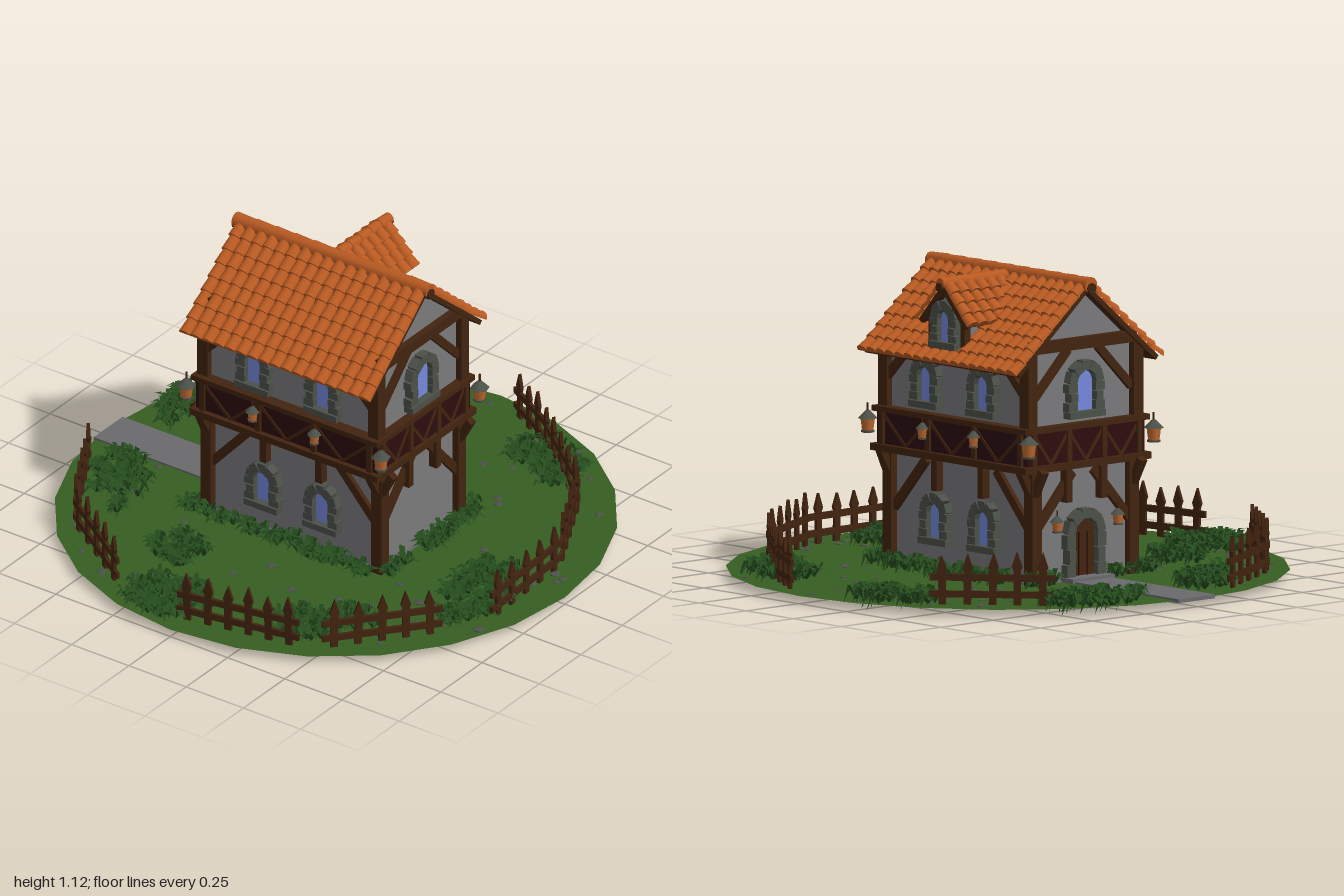
import * as THREE from 'three';
import { mergeGeometries } from 'three/addons/utils/BufferGeometryUtils.js';

const mat = (name, color, extra = {}) => Object.assign(new THREE.MeshStandardMaterial({ color, ...extra }), { name });

export function createModel() {
  const M = {
    grass: mat('grass', 0x355e22, { side: THREE.DoubleSide }),
    leaf: mat('leaf', 0x254d1d, { side: THREE.DoubleSide }),
    roof: mat('roofTile', 0xb95a22),
    wall: mat('plaster', 0x7a7a7c),
    wood: mat('wood', 0x42230f),
    panel: mat('darkPanel', 0x2c0d0e),
    stone: mat('stone', 0x4b5048),
    glass: mat('glass', 0x7488dc),
    path: mat('path', 0x6a6a6d),
    lamp: mat('lampGlow', 0xc06a30),
  };
  let seed = 7;
  const rnd = (a = 0, b = 1) => {
    seed = (seed * 16807) % 2147483647;
    return a + (b - a) * seed / 2147483647;
  };
  const V = (x, y, z) => new THREE.Vector3(x, y, z);
  const group = (parent, name, x = 0, y = 0, z = 0, yaw = 0) => {
    const g = new THREE.Group();
    g.name = name;
    g.position.set(x, y, z);
    g.rotation.y = yaw;
    parent.add(g);
    return g;
  };
  const add = (parent, name, geo, m, x = 0, y = 0, z = 0) => {
    const mesh = new THREE.Mesh(geo, m);
    mesh.name = name;
    mesh.position.set(x, y, z);
    parent.add(mesh);
    return mesh;
  };
  const box = (parent, name, m, w, h, d, x, y, z) => add(parent, name, new THREE.BoxGeometry(w, h, d), m, x, y, z);
  // square timber between two points of one facade
  const brace = (parent, name, x1, y1, x2, y2, z, t = 0.03, m = M.wood) => {
    const b = box(parent, name, m, Math.hypot(x2 - x1, y2 - y1), t, t, (x1 + x2) / 2, (y1 + y2) / 2, z);
    b.rotation.z = Math.atan2(y2 - y1, x2 - x1);
    return b;
  };
  const extrude = (points, depth) => new THREE.ExtrudeGeometry(
    new THREE.Shape(points.map(p => new THREE.Vector2(...p))), { depth, bevelEnabled: false });

  const root = new THREE.Group();
  root.name = 'cottage';

  // ground, path and pebbles
  add(root, 'ground', new THREE.CircleGeometry(1, 24).rotateX(-Math.PI / 2), M.grass, 0, 0.028, 0);
  box(root, 'path', M.path, 0.175, 0.014, 0.57, 0, 0.028, -0.71);
  const pebbles = [];
  for (let i = 0; i < 80; i++) {
    const a = rnd(0, 6.28), r = 0.96 * Math.sqrt(rnd(0.2, 1));
    pebbles.push(new THREE.IcosahedronGeometry(rnd(0.012, 0.022), 0).scale(1, 0.25, 1)
      .rotateY(a).translate(r * Math.cos(a), 0.029, r * Math.sin(a)));
  }
  add(root, 'pebbles', mergeGeometries(pebbles), M.stone);

  const house = group(root, 'house', -0.004, 0, -0.01);

  // plaster body, jettied upper storey and gable
  box(house, 'foundation', M.path, 0.47, 0.015, 0.76, 0, 0.028, 0);
  box(house, 'lowerWalls', M.wall, 0.45, 0.42, 0.74, 0, 0.235, 0);
  add(house, 'upperWalls', extrude([[-0.25, 0.5], [0.25, 0.5], [0.25, 0.86], [0, 1.07], [-0.25, 0.86]], 0.74), M.wall, 0, 0, -0.37);
  box(house, 'beltPanels', M.panel, 0.56, 0.15, 0.79, 0, 0.515, 0);
  box(house, 'beltTopRail', M.wood, 0.59, 0.02, 0.815, 0, 0.585, 0);
  box(house, 'beltBottomRail', M.wood, 0.6, 0.025, 0.82, 0, 0.447, 0);
  for (const sx of [-1, 1]) for (const sz of [-1, 1]) {
    box(house, 'lowerPost', M.wood, 0.045, 0.43, 0.045, sx * 0.232, 0.235, sz * 0.373);
    box(house, 'upperPost', M.wood, 0.045, 0.28, 0.045, sx * 0.252, 0.72, sz * 0.373);
  }

  // arched opening framed with stone blocks, facing +z
  function archOpening(parent, name, w, h, x, y, z, fill) {
    const g = group(parent, name, x, y, z), r = w / 2, s = h - r, t = 0.036;
    const shape = new THREE.Shape().moveTo(-r, 0).lineTo(r, 0).lineTo(r, s);
    shape.absarc(0, s, r, 0, Math.PI, false);
    add(g, 'pane', new THREE.ExtrudeGeometry(shape, { depth: 0.008, bevelEnabled: false, curveSegments: 8 }), fill);
    for (const side of [-1, 1]) for (let i = 0; i < 3; i++) {
      const bw = t + (i % 2 ? -0.004 : 0.005);
      box(g, 'jambStone', M.stone, bw, s / 3 - 0.003, 0.04 + (i % 2) * 0.006, side * (r + bw / 2), (i + 0.5) * s / 3, 0.01);
    }
    for (let i = 0; i < 5; i++) {
      const a = (i + 0.5) * Math.PI / 5;
      box(g, 'archStone', M.stone, t, Math.PI * (r + t * 0.6) / 5, 0.042 + (i % 2) * 0.006,
        Math.cos(a) * (r + t / 2), s + Math.sin(a) * (r + t / 2), 0.01).rotation.z = a;
    }
    return g;
  }
  const windowAt = (parent, w, h, x, y, z) =>
    box(archOpening(parent, 'window', w, h, x, y, z, M.glass), 'sill', M.stone, w + 0.08, 0.024, 0.05, 0, -0.012, 0.012);

  // lantern hung from a short arm
  function lantern(parent, x, y, z, s = 1) {
    const g = group(parent, 'lantern', x, y, z, Math.PI / 4);
    g.scale.setScalar(s);
    add(g, 'lampBody', new THREE.CylinderGeometry(0.026, 0.02, 0.045, 6), M.lamp);
    add(g, 'lampCap', new THREE.CylinderGeometry(0.006, 0.036, 0.03, 6), M.stone, 0, 0.036, 0);
    add(g, 'lampBase', new THREE.CylinderGeometry(0.024, 0.024, 0.008, 6), M.stone, 0, -0.025, 0);
    add(g, 'lampHook', new THREE.CylinderGeometry(0.004, 0.004, 0.03, 5), M.wood, 0, 0.062, 0);
  }

  // timber framing of one side; w half width, dl/du wall distances, bw/bd belt half width and distance
  function facade(yaw, w, dl, du, bw, bd, bays) {
    const g = group(house, 'facade', 0, 0, 0, yaw);
    for (const s of [-1, 1]) {
      brace(g, 'lowerBrace', s * (w - 0.03), 0.23, s * (w - 0.2), 0.42, dl, 0.032);
      brace(g, 'upperBrace', s * (w - 0.02), 0.7, s * (w - 0.18), 0.86, du, 0.03);
    }
    for (let i = 0; i <= bays; i++) {
      const x = (i / bays - 0.5) * 2 * (bw - 0.03), step = 2 * (bw - 0.03) / bays;
      box(g, 'beltPost', M.wood, 0.022, 0.14, 0.02, x, 0.515, bd);
      if (i > 0 && i < bays) box(g, 'bracketPost', M.wood, 0.028, 0.12, 0.04, x, 0.375, dl + 0.01);
      if (i < bays) for (const s of [0, 1])
        brace(g, 'beltBrace', x + s * step, 0.57, x + step / 2, 0.46, bd - 0.003, 0.012);
    }
    for (const s of [-1, 1]) {
      const knee = box(g, 'kneeBrace', M.wood, 0.03, 0.11, 0.026, s * (w - 0.015), 0.395, dl + 0.035);
      knee.rotation.x = 0.5;
    }
    return g;
  }
  for (const yaw of [0, Math.PI]) {
    const g = facade(yaw, 0.25, 0.372, 0.372, 0.28, 0.396, 3);
    box(g, 'tieBeam', M.wood, 0.49, 0.042, 0.045, 0, 0.878, 0.373);
    windowAt(g, 0.088, 0.145, 0, 0.635, 0.372);
    if (yaw) {
      const door = archOpening(g, 'door', 0.105, 0.215, 0, 0.035, 0.372, M.wood);
      box(door, 'doorPlank', M.panel, 0.004, 0.16, 0.004, -0.02, 0.085, 0.009);
      box(door, 'doorPlank', M.panel, 0.004, 0.16, 0.004, 0.02, 0.085, 0.009);
      box(g, 'doorstep', M.path, 0.2, 0.022, 0.07, 0, 0.034, 0.405);
      for (const s of [-1, 1]) lantern(g, s * 0.145, 0.235, 0.405, 0.75);
    }
  }
  for (const yaw of [Math.PI / 2, -Math.PI / 2]) {
    const g = facade(yaw, 0.385, 0.227, 0.252, 0.395, 0.281, 3);
    box(g, 'wallPlate', M.wood, 0.74, 0.035, 0.03, 0, 0.825, 0.252);
    for (const s of [-1, 1]) {
      windowAt(g, 0.066, 0.125, s * 0.15, 0.635, 0.252);
      windowAt(g, 0.066, 0.125, s * 0.128, 0.145, 0.227);
      lantern(g, s * 0.135, 0.525, 0.3, 0.75);
    }
  }
  for (const sx of [-1, 1]) for (const sz of [-1, 1]) lantern(house, sx * 0.298, 0.525, sz * 0.425);

  // one pitch of barrel tiles on a board, sloping down local +x from the apex
  function roofPitch(name, apex, yaw, angle, length, width, rows, cols) {
    const g = group(house, name, apex.x, apex.y, apex.z, yaw);
    const slope = group(g, 'pitch');
    slope.rotation.z = -angle;
    box(slope, 'roofBoard', M.wood, length - 0.01, 0.018, width - 0.015, length / 2 - 0.005, -0.005, 0);
    const tiles = [], pitch = width / cols, step = length / rows;
    for (let c = 0; c < cols; c++) for (let r = 0; r < rows; r++)
      tiles.push(new THREE.CylinderGeometry(pitch * 0.43, pitch * 0.53, step * 1.15, 8, 1, false, -Math.PI / 2, Math.PI)
        .rotateX(-Math.PI / 2).rotateY(Math.PI / 2).rotateZ(0.1)
        .translate((r + 0.5) * step, 0.007 + rnd(0, 0.002), (c + 0.5) * pitch - width / 2));
    add(slope, 'tiles', mergeGeometries(tiles), M.roof);
  }
  // overlapping ridge caps along local z
  function ridge(name, x, y, z, yaw, length, n, r) {
    const g = group(house, name, x, y, z, yaw), caps = [];
    for (let i = 0; i < n; i++)
      caps.push(new THREE.CylinderGeometry(r * 0.88, r, length / n * 1.1, 10).rotateX(Math.PI / 2)
        .translate(0, 0, (i + 0.5) * length / n - length / 2));
    add(g, 'ridgeCaps', mergeGeometries(caps), M.roof);
    add(g, 'ridgeBeam', new THREE.CylinderGeometry(r * 0.7, r * 0.7, length + 0.02, 8).rotateX(Math.PI / 2), M.wood, 0, -0.012, 0);
  }
  for (const yaw of [0, Math.PI]) roofPitch('mainRoof', V(0, 1.08, 0), yaw, 0.705, 0.448, 0.83, 8, 17);
  ridge('mainRidge', 0, 1.087, 0, 0, 0.84, 10, 0.029);

  // dormer on the +x pitch
  for (const yaw of [-Math.PI / 2, Math.PI / 2]) roofPitch('dormerRoof', V(0.185, 1.068, 0), yaw, 0.83, 0.185, 0.29, 4, 6);
  ridge('dormerRidge', 0.185, 1.078, 0, Math.PI / 2, 0.3, 5, 0.024);
  add(house, 'dormerWalls', extrude([[-0.085, 0.85], [0.085, 0.85], [0.085, 0.96], [0, 1.055], [-0.085, 0.96]], 0.25)
    .rotateY(Math.PI / 2), M.wall, 0.045, 0, 0);
  const dormer = group(house, 'dormerFront', 0, 0, 0, Math.PI / 2);
  windowAt(dormer, 0.058, 0.112, 0, 0.868, 0.296);
  for (const s of [-1, 1]) {
    box(dormer, 'dormerPost', M.wood, 0.022, 0.13, 0.03, s * 0.084, 0.905, 0.292);
    brace(dormer, 'dormerRafter', s * 0.118, 0.932, 0, 1.062, 0.315, 0.02);
  }

  // picket fences through ground points
  const picketGeo = extrude([[-0.013, 0], [0.013, 0], [0.013, 0.12], [0.019, 0.135], [0, 0.19], [-0.019, 0.135], [-0.013, 0.12]], 0.012);
  const fences = [
    [[-0.23, -0.91], [-0.61, -0.7], [-0.86, -0.33]],
    [[0.49, -0.79], [0.79, -0.46]],
    [[0.93, 0.11], [0.82, 0.31], [0.54, 0.67], [0.17, 0.86], [-0.28, 0.88]],
    [[-0.45, 0.79], [-0.79, 0.51]],
    [[-0.83, 0.44], [-0.915, -0.03]],
  ];
  for (const line of fences) for (let i = 0; i + 1 < line.length; i++) {
    const [[ax, az], [bx, bz]] = [line[i], line[i + 1]], len = Math.hypot(bx - ax, bz - az);
    const g = group(root, 'fence', (ax + bx) / 2, 0.03, (az + bz) / 2, -Math.atan2(bz - az, bx - ax));
    for (const y of [0.037, 0.097]) box(g, 'rail', M.wood, len, 0.024, 0.012, 0, y, 0);
    const n = Math.max(2, Math.round(len / 0.085));
    for (let k = 0; k < n; k++) {
      const p = add(g, 'picket', picketGeo, M.wood, ((k + 0.5) / n - 0.5) * len, 0, -0.006);
      p.scale.y = rnd(0.9, 1.02);
      p.rotation.z = rnd(-0.03, 0.03);
    }
  }

  // leafy beds: x, z, half length, half width, turn, tuft count
  const beds = [
    [-0.3, -0.73, 0.2, 0.09, 0.6, 40], [-0.56, -0.28, 0.1, 0.1, 0, 24], [-0.84, -0.13, 0.12, 0.16, 0, 48],
    [-0.67, 0.43, 0.19, 0.1, -0.9, 40], [-0.18, 0.75, 0.23, 0.11, 0.2, 56], [0.7, 0.42, 0.19, 0.1, 1.2, 40],
    [0.82, -0.31, 0.17, 0.1, -1.3, 40], [0.33, -0.82, 0.21, 0.1, -0.3, 48],
    [0, 0.41, 0.28, 0.025, 0, 24], [0.3, 0.03, 0.38, 0.035, 1.57, 34], [-0.29, 0, 0.36, 0.03, 1.57, 30],
    [0.22, -0.42, 0.1, 0.02, 0, 8], [-0.22, -0.42, 0.1, 0.02, 0, 8],
  ];
  for (const [cx, cz, rx, rz, turn, count] of beds) {
    const pos = [];
    for (let i = 0; i < count; i++) {
      const a = rnd(0, 6.28), q = Math.sqrt(rnd()), u = Math.cos(a) * q * rx, v = Math.sin(a) * q * rz;
      const x = cx + u * Math.cos(turn) + v * Math.sin(turn), z = cz - u * Math.sin(turn) + v * Math.cos(turn);
      for (let k = 0; k < 8; k++) {
        const t = k * 0.785 + rnd(-0.3, 0.3), len = rnd(0.035, 0.065), up = rnd(0.025, 0.055), w = rnd(0.007, 0.011);
        const at = (d, y, s) => [x + Math.cos(t) * d - Math.sin(t) * s, y, z + Math.sin(t) * d + Math.cos(t) * s];
        const L = at(0, 0.03, -w / 2), R = at(0, 0.03, w / 2);
        const l = at(len * 0.55, 0.03 + up, -w), r = at(len * 0.55, 0.03 + up, w);
        const tip = at(len, k === 0 ? rnd(0, 0.03) : 0.03 + up * rnd(0.3, 1.1), 0);
        pos.push(...L, ...R, ...l, ...R, ...r, ...l, ...l, ...r, ...tip);
      }
    }
    const geo = new THREE.BufferGeometry();
    geo.setAttribute('position', new THREE.Float32BufferAttribute(pos, 3));
    geo.computeVertexNormals();
    add(root, 'plants', geo, M.leaf);
  }
  return root;
}
